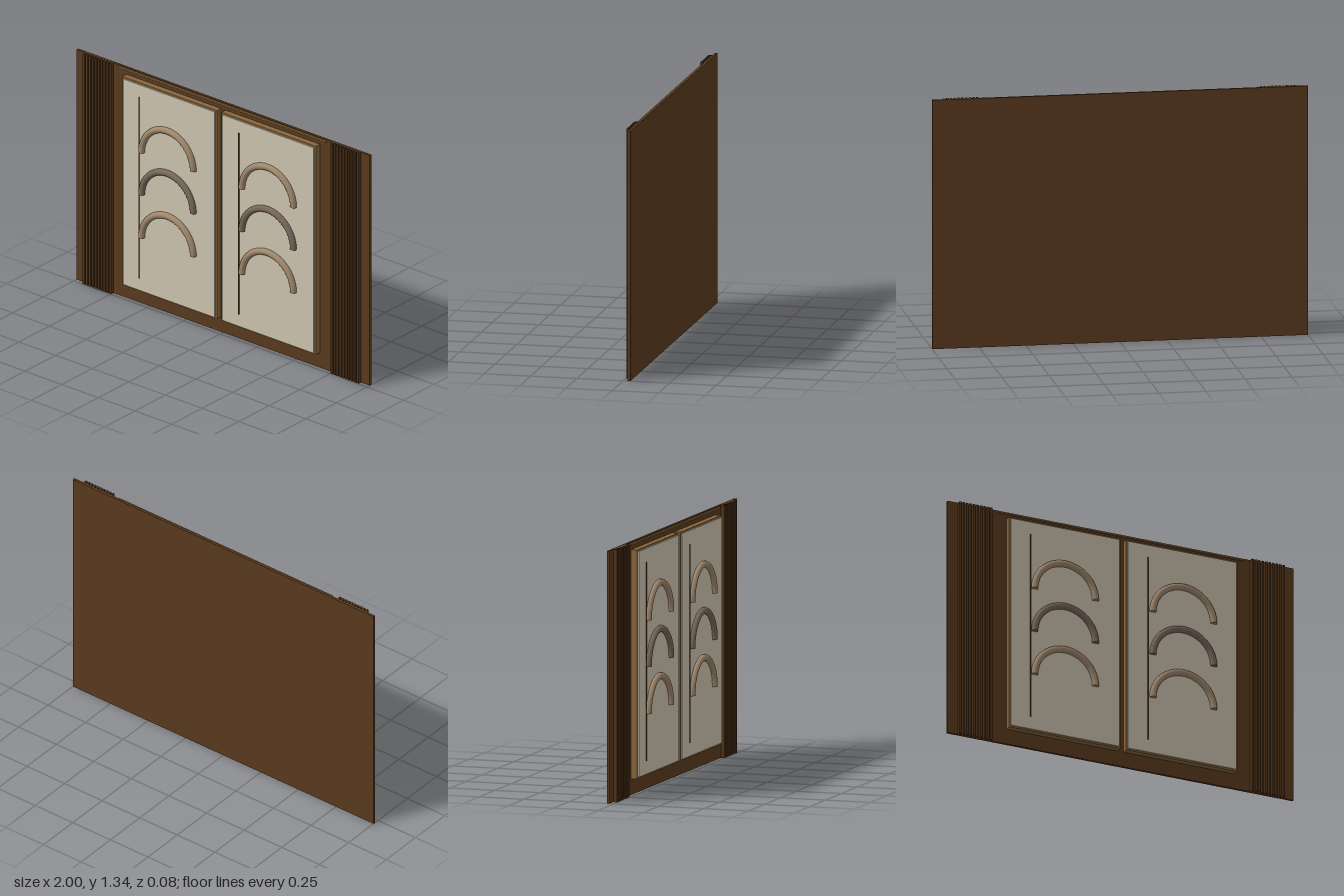
import * as THREE from 'three';

const mat = (name, color) => {
  const m = new THREE.MeshStandardMaterial({ color });
  m.name = name;
  return m;
};

export function createModel() {
  const group = new THREE.Group();
  const wood = mat('walnut', 0x5a3a1e);
  const slatWood = mat('slat walnut', 0x53351b);
  const lineWood = mat('dark line', 0x4a3820);
  const bronze = mat('bronze trim', 0x8a683c);
  const paper = mat('linen panel', 0xcec4b0);
  const tan = mat('tan arch', 0xa0886c);
  const taupe = mat('taupe arch', 0x78675a);

  const add = (name, geometry, material, x = 0, y = 0, z = 0) => {
    const m = new THREE.Mesh(geometry, material);
    m.name = name;
    m.position.set(x, y, z);
    group.add(m);
    return m;
  };
  // Box given by its limits on each axis
  const box = (name, material, x0, x1, y0, y1, z0, z1) =>
    add(name, new THREE.BoxGeometry(x1 - x0, y1 - y0, z1 - z0), material,
      (x0 + x1) / 2, (y0 + y1) / 2, (z0 + z1) / 2);

  // Backboard and the thin rail along its top
  box('backboard', wood, -1, 1, 0, 1.34, -0.038, -0.024);
  box('topRail', bronze, -0.71, 0.71, 1.326, 1.334, -0.024, -0.012);

  // Vertical slats down both sides
  for (const s of [-1, 1]) {
    for (let i = 0; i < 10; i++) {
      const x = s * (0.755 + i * 0.02);
      box('slat', slatWood, x - 0.006, x + 0.006, 0, 1.34, -0.024, -0.003);
    }
  }

  // Two framed panels, each with a thin line and three arches
  const arch = new THREE.TorusGeometry(0.176, 0.018, 16, 48, Math.PI);
  const cap = new THREE.CircleGeometry(0.018, 16);
  for (const s of [-1, 1]) {
    const cx = s * 0.338;
    box('panelFrame', bronze, cx - 0.322, cx + 0.322, 0.085, 1.3, -0.024, 0.009);
    box('panelFace', paper, cx - 0.313, cx + 0.313, 0.094, 1.291, 0.009, 0.016);
    const lx = s < 0 ? -0.539 : 0.141;
    box('panelLine', lineWood, lx - 0.0025, lx + 0.0025, 0.165, 1.22, 0.016, 0.021);
    [0.412, 0.662, 0.908].forEach((y, i) => {
      const material = i === 1 ? taupe : tan;
      add('arch', arch, material, s * 0.342, y, 0.021);
      for (const e of [-1, 1]) {
        add('archEnd', cap, material, s * 0.342 + e * 0.176, y, 0.021).rotation.x = Math.PI / 2;
      }
    });
  }
  return group;
}
